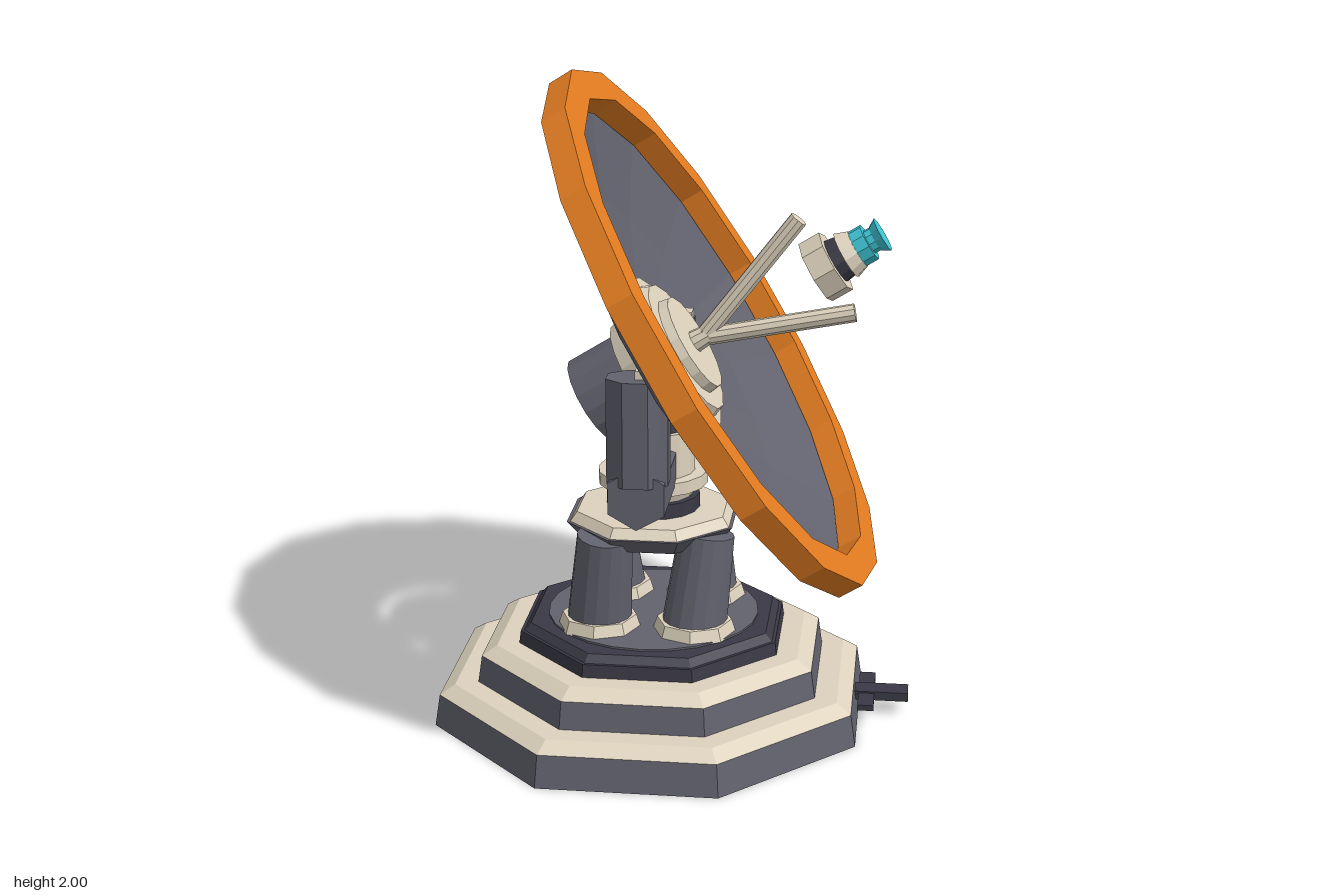
import * as THREE from 'three';

const paint = (name, color) => {
  const m = new THREE.MeshStandardMaterial({ color, flatShading: true, side: THREE.DoubleSide });
  m.name = name;
  return m;
};

export function createModel() {
  const slate = paint('slate', 0x62626e);
  const navy = paint('navy', 0x3a3945);
  const cream = paint('cream', 0xddd2bd);
  const orange = paint('orange', 0xe67e22);
  const cyan = paint('cyan', 0x40c8d8);

  const model = new THREE.Group();
  model.name = 'dishAntenna';

  const add = (parent, name, geo, mat, x = 0, y = 0, z = 0) => {
    const m = new THREE.Mesh(geo, mat);
    m.name = name;
    m.position.set(x, y, z);
    parent.add(m);
    return m;
  };
  // Upright prism between two heights; phase turns its corners
  const prism = (parent, name, mat, r0, r1, y0, y1, n = 16, phase = 0) =>
    add(parent, name, new THREE.CylinderGeometry(r1, r0, y1 - y0, n, 1, false, phase), mat, 0, (y0 + y1) / 2, 0);
  // Octagon sized across its flats
  const oct = (parent, name, mat, a0, a1, y0, y1) => {
    const k = 1 / Math.cos(Math.PI / 8);
    return prism(parent, name, mat, a0 * k, a1 * k, y0, y1, 8, Math.PI / 8);
  };
  // Rod between two points
  const rod = (parent, name, mat, a, b, r0, r1, n = 12) => {
    const p = new THREE.Vector3(...a), d = new THREE.Vector3(...b).sub(p);
    const m = add(parent, name, new THREE.CylinderGeometry(r1, r0, d.length(), n), mat);
    m.position.copy(p).addScaledVector(d, 0.5);
    m.quaternion.setFromUnitVectors(new THREE.Vector3(0, 1, 0), d.normalize());
    return m;
  };

  // Everything below the dish is centred on the pedestal axis
  const mount = new THREE.Group();
  mount.name = 'mount';
  mount.position.x = -0.075;
  model.add(mount);

  // Stepped octagonal base
  oct(mount, 'lowerStep', slate, 0.65, 0.635, 0, 0.1);
  oct(mount, 'lowerStepTrim', cream, 0.635, 0.59, 0.1, 0.13);
  oct(mount, 'middleStep', slate, 0.522, 0.51, 0.13, 0.215);
  oct(mount, 'middleStepTrim', cream, 0.51, 0.465, 0.215, 0.245);
  oct(mount, 'upperStep', navy, 0.4, 0.395, 0.245, 0.285);
  oct(mount, 'upperStepTop', navy, 0.385, 0.365, 0.285, 0.308);
  prism(mount, 'floorDisc', slate, 0.33, 0.33, 0.3, 0.314, 24);

  // Cable plug on the base
  add(mount, 'plugRod', new THREE.BoxGeometry(0.2, 0.028, 0.07), navy, 0.705, 0.062, 0);
  add(mount, 'plugBar', new THREE.BoxGeometry(0.05, 0.018, 0.25), navy, 0.675, 0.062, 0);

  // Four legs, leaning in and swirling around the axis
  for (let i = 0; i < 4; i++) {
    const leg = new THREE.Group();
    leg.name = 'leg' + (i + 1);
    leg.rotation.y = i * Math.PI / 2;
    mount.add(leg);
    add(leg, 'foot', new THREE.CylinderGeometry(0.115, 0.128, 0.04, 8), cream, 0.145, 0.33, 0.15);
    rod(leg, 'strut', slate, [0.145, 0.33, 0.15], [0.18, 0.62, 0.125], 0.1, 0.085, 16);
  }

  // Platform and turntable
  oct(mount, 'platformUnderside', slate, 0.215, 0.255, 0.58, 0.63);
  oct(mount, 'platformTop', cream, 0.245, 0.225, 0.63, 0.66);
  prism(mount, 'turntableNeck', navy, 0.145, 0.145, 0.66, 0.705, 16);
  prism(mount, 'turntableCollar', cream, 0.125, 0.14, 0.705, 0.74, 16);
  prism(mount, 'turntableRing', cream, 0.17, 0.17, 0.74, 0.78, 16);
  prism(mount, 'column', cream, 0.13, 0.13, 0.78, 0.92, 16);
  prism(mount, 'columnHead', navy, 0.115, 0.1, 0.92, 1.04, 12);

  // Yoke
  const along = (name, mat, r, y, z0, z1, n) => {
    const m = add(mount, name, new THREE.CylinderGeometry(r, r, z1 - z0, n), mat, 0, y, (z0 + z1) / 2);
    m.rotation.x = Math.PI / 2;
  };
  along('axle', navy, 0.06, 1.08, -0.32, 0.32, 12);
  for (const s of [1, -1]) {
    const a = s * 0.1, b = s * 0.4;
    along('yokeElbow', slate, 0.096, 0.815, Math.min(a, b), Math.max(a, b), 6);
    const arm = add(mount, 'yokeArm', new THREE.CylinderGeometry(0.098, 0.098, 0.32, 8, 1, false, Math.PI / 8), slate, 0, 1.01, s * 0.34);
    arm.scale.z = 0.78;
    add(mount, 'bearingCap', new THREE.BoxGeometry(0.09, 0.09, 0.06), cream, 0.04, 1.15, s * 0.34);
  }

  // Dish assembly: local y is the pointing axis, origin at the rim's front plane
  const dish = new THREE.Group();
  dish.name = 'dishAssembly';
  dish.position.set(0.155, 1.25, 0);
  dish.rotation.z = -58.2 * Math.PI / 180;
  model.add(dish);

  const lathe = (name, pts, mat) =>
    add(dish, name, new THREE.LatheGeometry(pts.map(p => new THREE.Vector2(...p)), 16), mat);
  lathe('reflector', [[0.28, -0.235], [0.54, -0.178], [0.82, -0.075]], slate);
  lathe('rim', [[0.785, -0.08], [0.885, -0.08], [0.885, 0], [0.785, 0], [0.785, -0.08]], orange);

  // Hub and the motor behind it
  prism(dish, 'motor', slate, 0.14, 0.14, -0.49, -0.3, 16);
  prism(dish, 'hubBack', cream, 0.165, 0.19, -0.32, -0.23, 16);
  prism(dish, 'hubDisc', cream, 0.26, 0.26, -0.23, -0.185, 16);
  prism(dish, 'hubMiddle', cream, 0.23, 0.215, -0.185, -0.15, 16);
  prism(dish, 'hubCap', cream, 0.16, 0.155, -0.15, -0.12, 16);
  prism(dish, 'hubKnob', cream, 0.035, 0.03, -0.12, -0.07, 10);

  // Two booms spreading from the hub
  for (const s of [1, -1])
    rod(dish, 'boom', cream, [0, -0.09, 0], [s * 0.165, 0.345, 0], 0.028, 0.028, 10);

  // Feed horn on the axis
  prism(dish, 'feedBody', cream, 0.1, 0.1, 0.305, 0.375, 8);
  prism(dish, 'feedNeck', navy, 0.07, 0.065, 0.375, 0.41, 12);
  prism(dish, 'feedCollar', cream, 0.075, 0.06, 0.41, 0.45, 12);
  prism(dish, 'feedBase', cyan, 0.058, 0.058, 0.45, 0.49, 10);
  prism(dish, 'feedWaist', cyan, 0.038, 0.038, 0.49, 0.51, 10);
  prism(dish, 'feedTip', cyan, 0.04, 0.055, 0.51, 0.535, 10);

  return model;
}
